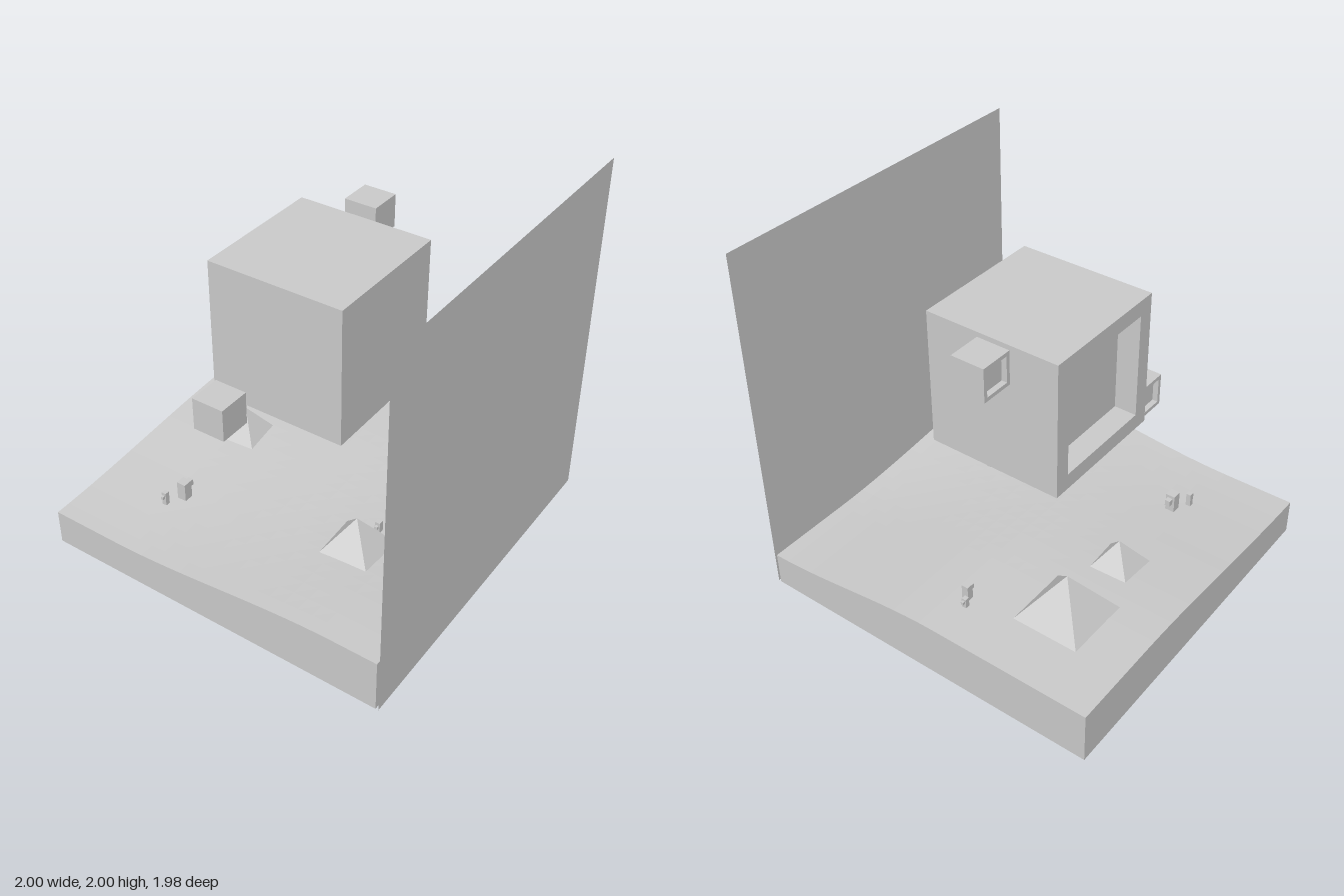
import * as THREE from 'three';

const material = new THREE.MeshStandardMaterial({ color: 0xcccccc, flatShading: true });
const thinMaterial = new THREE.MeshStandardMaterial({ color: 0xcccccc, side: THREE.DoubleSide });
const smooth = THREE.MathUtils.smoothstep;

// Rolling ground: high at back right and front left, low at the other two corners
function groundHeight(x, z) {
  const back = 0.294 - 0.104 * smooth(x, -0.1, 1);
  const front = 0.2 + 0.1 * smooth(x, -0.6, 0.75);
  return THREE.MathUtils.lerp(back, front, smooth(z, -0.5, 1.05));
}

function addMesh(parent, name, geometry, x, y, z, mat = material) {
  const mesh = new THREE.Mesh(geometry, mat);
  mesh.name = name;
  mesh.position.set(x, y, z);
  parent.add(mesh);
  return mesh;
}

function createGround() {
  const geometry = new THREE.BoxGeometry(1.98, 0.25, 1.98, 24, 1, 24);
  const p = geometry.attributes.position;
  for (let i = 0; i < p.count; i++) {
    const x = p.getX(i) - 0.01;
    p.setXYZ(i, x, p.getY(i) > 0 ? groundHeight(x, p.getZ(i)) : 0, p.getZ(i));
  }
  geometry.computeVertexNormals();
  return geometry;
}

// Floating cube with a framed, recessed screen facing -x
function addScreenCube(parent, name, size, x, y, z) {
  const group = new THREE.Group();
  group.name = name;
  group.position.set(x, y, z);
  group.rotation.y = -Math.PI / 2;
  const h = size / 2, depth = size * 0.165, inner = h * 0.77;
  const square = (r) => [[-r, -r], [r, -r], [r, r], [-r, r]].map(([a, b]) => new THREE.Vector2(a, b));
  const shape = new THREE.Shape(square(h));
  shape.holes.push(new THREE.Path(square(inner).reverse()));
  const frame = new THREE.ExtrudeGeometry(shape, { depth, bevelEnabled: false });
  addMesh(group, 'screenFrame', frame, 0, 0, h - depth);
  addMesh(group, 'screenBody', new THREE.BoxGeometry(size, size, size - depth), 0, 0, -depth / 2);
  parent.add(group);
}

function addPyramid(parent, x, z, half, base, top, turn) {
  const geometry = new THREE.ConeGeometry(half * Math.SQRT2, top - base, 4);
  geometry.rotateY(Math.PI / 4);
  addMesh(parent, 'pyramid', geometry, x, (top + base) / 2, z).rotation.y = turn;
}

// Blocky onlooker with a small box held out along +z (facing 1) or -z (facing -1)
function addFigure(parent, x, z, width, base, height, facing) {
  const group = new THREE.Group();
  group.name = 'figure';
  group.position.set(x, base, z);
  const w = width * 0.55;
  addMesh(group, 'figureBody', new THREE.BoxGeometry(width, height, width), 0, height / 2, 0);
  addMesh(group, 'heldBox', new THREE.BoxGeometry(w, w * 1.2, w), 0, height * 0.68, facing * (width + w) / 2);
  parent.add(group);
}

export function createModel() {
  const model = new THREE.Group();
  model.name = 'landscapeWithScreens';

  addMesh(model, 'ground', createGround(), 0, 0, 0);

  // Thin upright backdrop along the +x side
  const wall = new THREE.PlaneGeometry(1.98, 2).rotateY(Math.PI / 2);
  addMesh(model, 'backdropWall', wall, 0.995, 1, 0, thinMaterial);

  addScreenCube(model, 'largeScreenCube', 0.765, -0.015, 1.25, -0.003);
  addScreenCube(model, 'upperScreenCube', 0.185, -0.085, 1.57, -0.545);
  addScreenCube(model, 'lowerScreenCube', 0.185, -0.247, 0.905, 0.528);

  // x, z, half width, base, top, turn
  [
    [-0.55, -0.507, 0.193, 0.285, 0.54, 0],
    [-0.55, -0.05, 0.125, 0.255, 0.432, 0.04],
    [0.467, 0.38, 0.14, 0.265, 0.458, 0.04],
  ].forEach((p) => addPyramid(model, ...p));

  // x, z, width, base, height, facing
  [
    [-0.512, 0.537, 0.053, 0.225, 0.105, -1],
    [-0.567, 0.627, 0.027, 0.218, 0.077, 1],
    [-0.095, -0.715, 0.038, 0.29, 0.092, 1],
    [-0.123, -0.765, 0.026, 0.29, 0.058, -1],
    [0.488, 0.207, 0.03, 0.24, 0.08, 1],
  ].forEach((f) => addFigure(model, ...f));

  return model;
}
